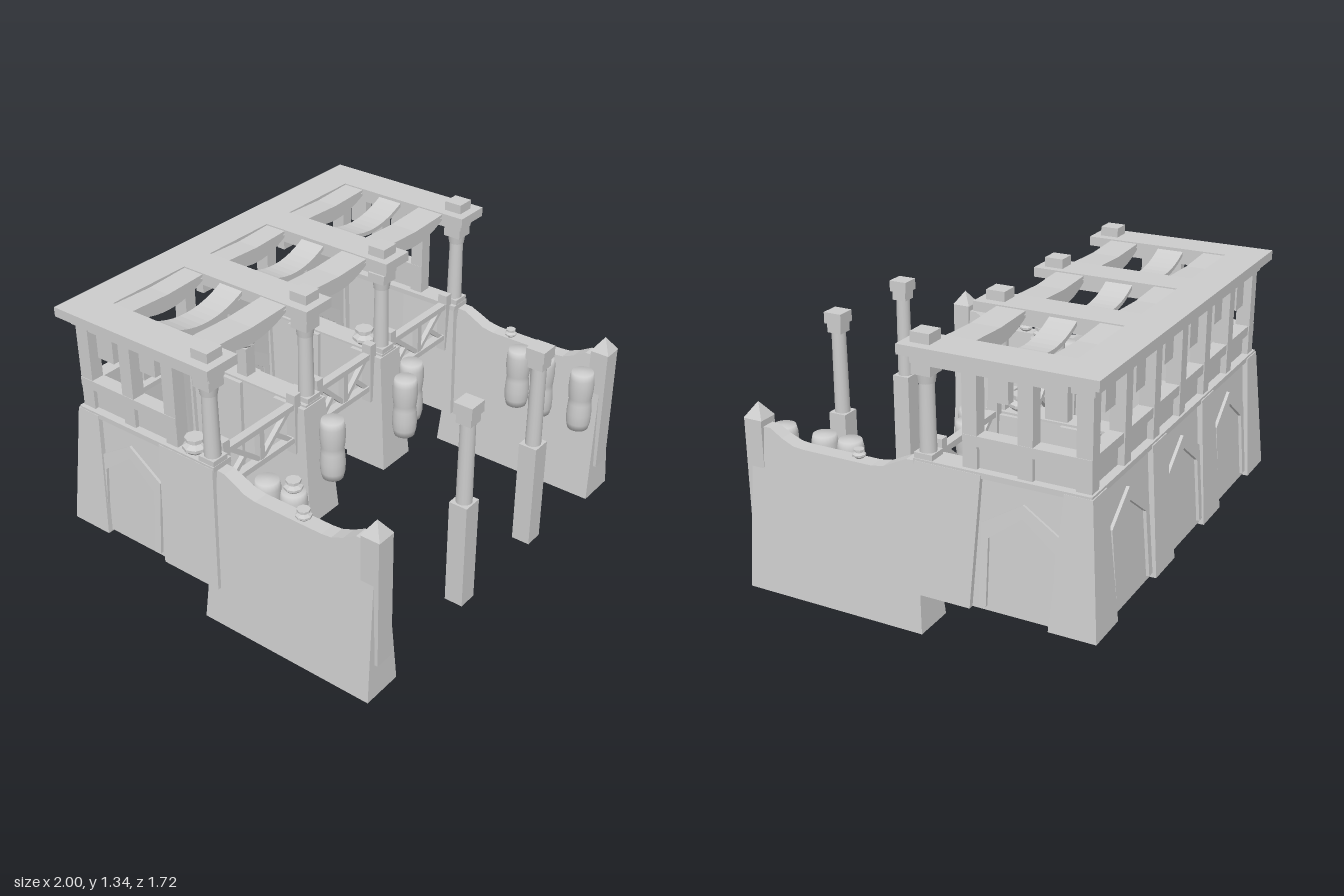
import * as THREE from 'three';

export function createModel() {
  const model = new THREE.Group();
  const stone = new THREE.MeshStandardMaterial({ color: 0xcccccc, side: THREE.DoubleSide });
  stone.name = 'pale stone';

  const add = (name, geo, x = 0, y = 0, z = 0, parent = model) => {
    const m = new THREE.Mesh(geo, stone);
    m.name = name;
    m.position.set(x, y, z);
    parent.add(m);
    return m;
  };
  // Box given by its limits
  const box = (name, x0, x1, y0, y1, z0, z1) =>
    add(name, new THREE.BoxGeometry(x1 - x0, y1 - y0, z1 - z0), (x0 + x1) / 2, (y0 + y1) / 2, (z0 + z1) / 2);
  // Tapered block, open below: b = [x0, x1, z0, z1] at the bottom, t the same at the top
  const taper = (name, y0, y1, b, t) => {
    const g = new THREE.BoxGeometry(1, 1, 1);
    const idx = Array.from(g.index.array);
    idx.splice(18, 6);
    g.setIndex(idx);
    g.clearGroups();
    const p = g.attributes.position;
    for (let i = 0; i < p.count; i++) {
      const r = p.getY(i) > 0 ? t : b;
      p.setXYZ(i, p.getX(i) < 0 ? r[0] : r[1], p.getY(i) > 0 ? y1 : y0, p.getZ(i) < 0 ? r[2] : r[3]);
    }
    g.computeVertexNormals();
    return add(name, g);
  };
  const shapeOf = pts => new THREE.Shape(pts.map(p => new THREE.Vector2(p[0], p[1])));
  const extrude = (pts, depth) => new THREE.ExtrudeGeometry(shapeOf(pts), { depth, bevelEnabled: false });
  const lathe = (pts, n) => new THREE.LatheGeometry(pts.map(p => new THREE.Vector2(p[0], p[1])), n);

  // Retaining walls running front to back, with buttresses
  const Y0 = 0.19, Y1 = 0.78;
  for (const s of [-1, 1]) {
    const wall = (name, y0, z, Z, inB, outB, inT, outT) => {
      const lim = (a, b) => s > 0 ? [a, b] : [-b, -a];
      taper(name, y0, Y1, [...lim(inB, outB), ...z], [...lim(inT, outT), ...Z]);
    };
    wall('sideWall', Y0, [-0.8, 0], [-0.76, -0.04], 0.82, 0.975, 0.855, 0.928);
    wall('sideButtress', Y0, [-0.29, 0.03], [-0.32, -0.01], 0.79, 1.0, 0.84, 0.95);
    wall('cornerButtress', 0.18, [-0.86, -0.75], [-0.81, -0.69], 0.79, 1.0, 0.84, 0.95);
    wall('innerWall', Y0, [-0.8, 0], [-0.76, -0.04], 0.2, 0.37, 0.23, 0.34);
    wall('innerButtress', 0.18, [-0.18, 0.05], [-0.18, 0], 0.18, 0.39, 0.21, 0.36);
    wall('innerButtress', 0.18, [-0.59, -0.36], [-0.57, -0.38], 0.18, 0.39, 0.21, 0.36);
    wall('backButtress', 0.18, [-0.865, -0.65], [-0.815, -0.69], 0.18, 0.39, 0.21, 0.36);
    wall('backCornerButtress', 0.18, [-0.865, -0.65], [-0.815, -0.69], 0.79, 1.0, 0.82, 0.95);
  }
  taper('backWall', Y0, Y1, [-0.97, 0.97, -0.84, -0.67], [-0.93, 0.93, -0.79, -0.7]);
  // Flat coping on the walls
  box('backCoping', -0.945, 0.945, 0.765, 0.79, -0.81, -0.69);
  for (const x of [-0.893, -0.285, 0.285, 0.893])
    box('wallCoping', x - 0.055, x + 0.055, 0.765, 0.79, -0.8, -0.005);

  // Pointed arch frames laid on the sloping walls
  const arch = [[-0.185, 0.02], [-0.185, 0.385], [0, 0.5], [0.185, 0.385], [0.185, 0.02],
    [0.15, 0.02], [0.15, 0.325], [0, 0.44], [-0.15, 0.325], [-0.15, 0.02]];
  const addArch = (x, z, turn) => {
    const g = new THREE.Group();
    g.name = 'archFrame';
    g.position.set(x, Y0, z);
    g.rotation.y = turn;
    add('archBand', extrude(arch, 0.02), 0, 0, -0.005, g).rotation.x = -Math.atan(0.05 / 0.59);
    model.add(g);
  };
  for (const x of [-0.59, 0, 0.59]) {
    addArch(x, -0.84, Math.PI);
    addArch(x, -0.67, 0);
  }
  for (const s of [-1, 1]) addArch(s * 0.975, -0.51, s * Math.PI / 2);

  // Front wing walls: dipping top edge, sides sloping in towards the top
  const dip = [[0.845, 0], [0.825, 0.77], [0.73, 0.77], [0.67, 0.735], [0.61, 0.71], [0.56, 0.705],
    [0.21, 0.705], [0.15, 0.715], [0.09, 0.745], [0.04, 0.768], [0, 0.77], [-0.055, 0]];
  for (const s of [-1, 1]) {
    const pos = [], n = dip.length;
    const half = y => 0.1 - 0.09 * y;
    const at = (i, side) => [s * 0.9 + side * half(dip[i][1]), dip[i][1], dip[i][0]];
    for (let i = 0; i < n - 1; i++) {
      const a = at(i, -1), b = at(i, 1), c = at(i + 1, 1), d = at(i + 1, -1);
      pos.push(...a, ...b, ...c, ...a, ...c, ...d);
    }
    for (const tri of THREE.ShapeUtils.triangulateShape(dip.map(p => new THREE.Vector2(p[0], p[1])), []))
      for (const side of [-1, 1]) {
        const t = side < 0 ? tri : [...tri].reverse();
        t.forEach(i => pos.push(...at(i, side)));
      }
    const g = new THREE.BufferGeometry();
    g.setAttribute('position', new THREE.Float32BufferAttribute(pos, 3));
    g.computeVertexNormals();
    add('wingWall', g);
    // End pillar with a pointed cap
    box('wingPillar', s * 0.9 - 0.048, s * 0.9 + 0.048, 0.17, 0.8, 0.765, 0.855);
    add('pillarCap', new THREE.ConeGeometry(0.068, 0.07, 4, 1).rotateY(Math.PI / 4).toNonIndexed(), s * 0.9, 0.835, 0.81)
      .geometry.computeVertexNormals();
  }

  // Round columns and the caps above the roof
  for (const x of [-0.9, -0.28, 0.28, 0.9]) {
    add('column', new THREE.CylinderGeometry(0.032, 0.038, 0.42, 16), x, 0.99, -0.05);
    box('columnFoot', x - 0.043, x + 0.043, 0.785, 0.815, -0.093, -0.007);
    add('columnCollar', new THREE.CylinderGeometry(0.043, 0.037, 0.04, 16), x, 1.135, -0.05);
    box('columnHead', x - 0.045, x + 0.045, 1.155, 1.2, -0.095, -0.005);
    box('roofCap', x - 0.045, x + 0.045, 1.29, 1.335, -0.095, -0.005);
  }

  // Free-standing front posts
  for (const x of [-0.28, 0.28]) {
    taper('postBase', 0.07, 0.6, [x - 0.047, x + 0.047, 0.765, 0.855], [x - 0.047, x + 0.047, 0.765, 0.855]);
    add('postShaft', new THREE.CylinderGeometry(0.034, 0.037, 0.42, 16), x, 0.8, 0.81);
    box('postNeck', x - 0.037, x + 0.037, 1.0, 1.05, 0.773, 0.847);
    box('postHead', x - 0.046, x + 0.046, 1.045, 1.1, 0.764, 0.856);
  }

  // Roof frame with narrower beams below it
  const beams = [[-0.99, -0.81], [-0.37, -0.2], [0.2, 0.37], [0.81, 0.99]];
  for (const [a, b] of beams) {
    box('roofBeam', a, b, 1.245, 1.29, -0.68, 0.035);
    box('lowerBeam', a + 0.045, b - 0.045, 1.2, 1.245, -0.7, 0);
  }
  box('backRoofBeam', -0.99, 0.99, 1.245, 1.29, -0.85, -0.675);
  box('backLowerBeam', -0.94, 0.94, 1.2, 1.245, -0.81, -0.71);

  // Sagging slats between the roof beams
  for (let bay = 0; bay < 3; bay++) {
    const a = beams[bay][1] - 0.02, b = beams[bay + 1][0] + 0.02, top = [], under = [];
    for (let i = 0; i <= 12; i++) {
      const t = i / 12, y = 1.285 - 0.26 * t * (1 - t);
      top.push([a + (b - a) * t, y]);
      under.unshift([a + (b - a) * t, y - 0.02]);
    }
    for (const [z0, z1] of [[-0.675, -0.565], [-0.46, -0.33], [-0.22, -0.08]])
      add('saggingSlat', extrude([...under, ...top.reverse()].reverse(), z1 - z0), 0, 0, z0);
  }

  // Gallery parapet, posts and hanging boards
  box('backRail', -0.93, 0.93, 0.89, 0.935, -0.795, -0.725);
  box('backPanel', -0.9, 0.9, 0.785, 0.89, -0.77, -0.745);
  for (const x of [-0.895, -0.59, -0.29, 0, 0.29, 0.59, 0.895])
    box('backPost', x - 0.032, x + 0.032, 0.785, 1.2, -0.8, -0.73);
  [-0.74, -0.445, -0.145, 0.145, 0.445, 0.74].forEach((x, i) =>
    box('hangingBoard', x - 0.047, x + 0.047, i % 2 ? 1.08 : 1.06, 1.2, -0.785, -0.74));
  for (const s of [-1, 1]) {
    const x = s * 0.895;
    box('sideRail', x - 0.035, x + 0.035, 0.89, 0.935, -0.8, -0.23);
    box('sidePanel', x - 0.013, x + 0.013, 0.785, 0.89, -0.8, -0.25);
    for (const z of [-0.26, -0.51]) box('sidePost', x - 0.033, x + 0.033, 0.785, 1.2, z - 0.033, z + 0.033);
    box('sideBoard', x - 0.022, x + 0.022, 1.09, 1.2, -0.43, -0.34);
    box('sideBoard', x - 0.022, x + 0.022, 1.065, 1.2, -0.685, -0.59);
  }

  // Braced fences between the front columns
  const brace = (x0, y0, x1, y1) => {
    const m = add('fenceBrace', new THREE.BoxGeometry(Math.hypot(x1 - x0, y1 - y0), 0.022, 0.024), (x0 + x1) / 2, (y0 + y1) / 2, -0.06);
    m.rotation.z = Math.atan2(y1 - y0, x1 - x0);
  };
  for (const [a, b] of [[-0.83, -0.36], [-0.2, 0.2], [0.36, 0.83]]) {
    const mid = (a + b) / 2;
    for (const y of [0.6, 0.775]) box('fenceRail', a, b, y, y + 0.028, -0.08, -0.04);
    box('fencePost', mid - 0.015, mid + 0.015, 0.61, 0.79, -0.076, -0.044);
    for (const e of [a, b]) {
      const q = e + (mid - e) * 0.15;
      box('fenceEndPost', e - 0.021, e + 0.021, 0.54, 0.85, -0.085, -0.035);
      brace(mid, 0.62, q, 0.785);
      brace(q, 0.62, (q + mid) / 2, 0.7);
    }
  }

  // Waisted barrels
  const barrel = [[0, 0.415], [0.05, 0.415], [0.058, 0.45], [0.06, 0.5], [0.056, 0.555], [0.053, 0.57],
    [0.056, 0.585], [0.061, 0.64], [0.059, 0.69], [0.052, 0.722], [0, 0.722]];
  for (const [x, z] of [[-0.8, 0.16], [-0.795, 0.3], [-0.27, 0.09], [0.22, 0.14], [0.36, 0.075],
    [0.78, 0.42], [0.78, 0.555], [0.78, 0.77]])
    add('barrel', lathe(barrel, 20), x, 0, z);

  // Faceted pots
  const pot = [[0, 0], [0.6, 0], [1, 0.35], [1, 0.6], [0.55, 0.85], [0.55, 1], [0.8, 1.1], [0.8, 1.35], [0, 1.35]];
  const addPot = (x, y, z, r) => {
    const g = lathe(pot.map(p => [p[0] * r, p[1] * r]), 8).toNonIndexed();
    g.computeVertexNormals();
    add('pot', g, x, y, z);
  };
  addPot(-0.9, 0.79, -0.15, 0.056);
  addPot(0.28, 0.79, -0.15, 0.056);
  box('potStand', -0.31, -0.25, 0.78, 0.935, -0.44, -0.38);
  addPot(-0.28, 0.935, -0.41, 0.048);
  addPot(-0.9, 0.705, 0.44, 0.036);
  addPot(0.89, 0.705, 0.3, 0.03);
  addPot(-0.795, 0.722, 0.3, 0.042);

  return model;
}
